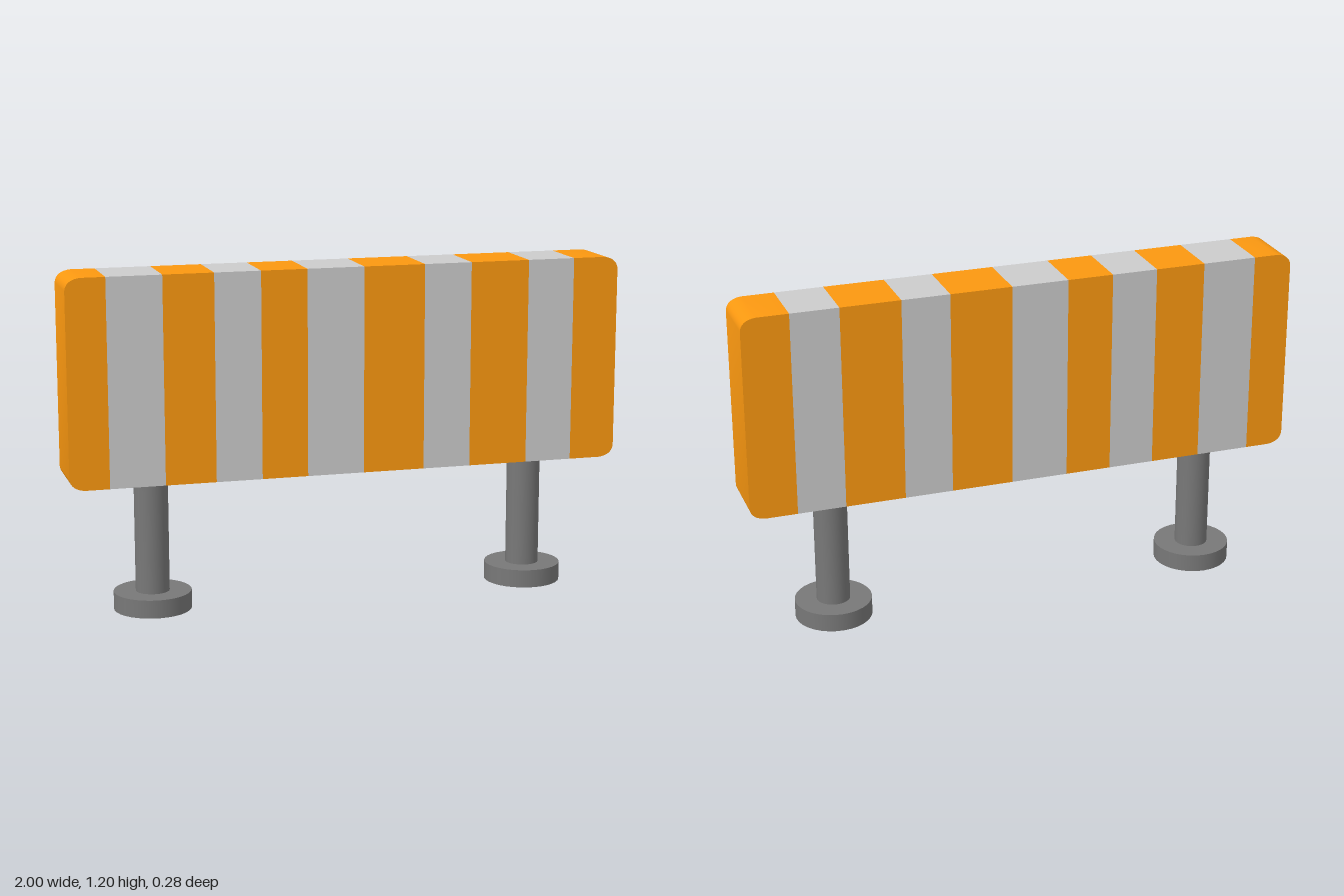
import * as THREE from 'three';
import { toCreasedNormals } from 'three/addons/utils/BufferGeometryUtils.js';

const BOTTOM = 0.467, TOP = 1.203, DEPTH = 0.214;
const orange = new THREE.MeshStandardMaterial({ color: 0xfb9810 });
const lightGrey = new THREE.MeshStandardMaterial({ color: 0xcccccc });
const darkGrey = new THREE.MeshStandardMaterial({ color: 0x787878 });

function add(parent, name, geometry, material, x, y, z) {
  const mesh = new THREE.Mesh(geometry, material);
  mesh.name = name;
  mesh.position.set(x, y, z);
  parent.add(mesh);
}

// End stripe: outer corners rounded. side = -1 or 1, inner = x of the straight edge
function endStripe(inner, side) {
  const rx = 0.055 * side, ry = 0.042;
  const s = new THREE.Shape();
  s.moveTo(inner, BOTTOM);
  s.lineTo(side - rx, BOTTOM);
  s.quadraticCurveTo(side - rx * 0.1, BOTTOM + ry * 0.1, side, BOTTOM + ry);
  s.lineTo(side, TOP - ry);
  s.quadraticCurveTo(side - rx * 0.1, TOP - ry * 0.1, side - rx, TOP);
  s.lineTo(inner, TOP);
  s.closePath();
  const g = new THREE.ExtrudeGeometry(s, { depth: DEPTH, bevelEnabled: false, curveSegments: 8 });
  return toCreasedNormals(g, 0.7);
}

export function createModel() {
  const model = new THREE.Group();
  model.name = 'barrier';

  // Striped board, alternating orange and light grey
  const board = new THREE.Group();
  board.name = 'board';
  model.add(board);
  const edges = [-1, -0.86, -0.665, -0.485, -0.32, -0.155, 0.05, 0.272, 0.445, 0.66, 0.832, 1];
  add(board, 'endStripeRight', endStripe(edges[1], -1), orange, 0, 0, -DEPTH / 2);
  add(board, 'endStripeLeft', endStripe(edges[10], 1), orange, 0, 0, -DEPTH / 2);
  for (let i = 1; i < 10; i++) {
    const width = edges[i + 1] - edges[i];
    add(board, 'stripe' + i, new THREE.BoxGeometry(width, TOP - BOTTOM, DEPTH),
      i % 2 ? lightGrey : orange, edges[i] + width / 2, (TOP + BOTTOM) / 2, 0);
  }

  // Posts on round feet
  for (const [side, x] of [['Right', -0.698], ['Left', 0.692]]) {
    add(model, 'post' + side, new THREE.CylinderGeometry(0.06, 0.06, 0.41, 32), darkGrey, x, 0.265, 0);
    add(model, 'foot' + side, new THREE.CylinderGeometry(0.138, 0.138, 0.065, 32), darkGrey, x, 0.0325, 0);
  }
  return model;
}
